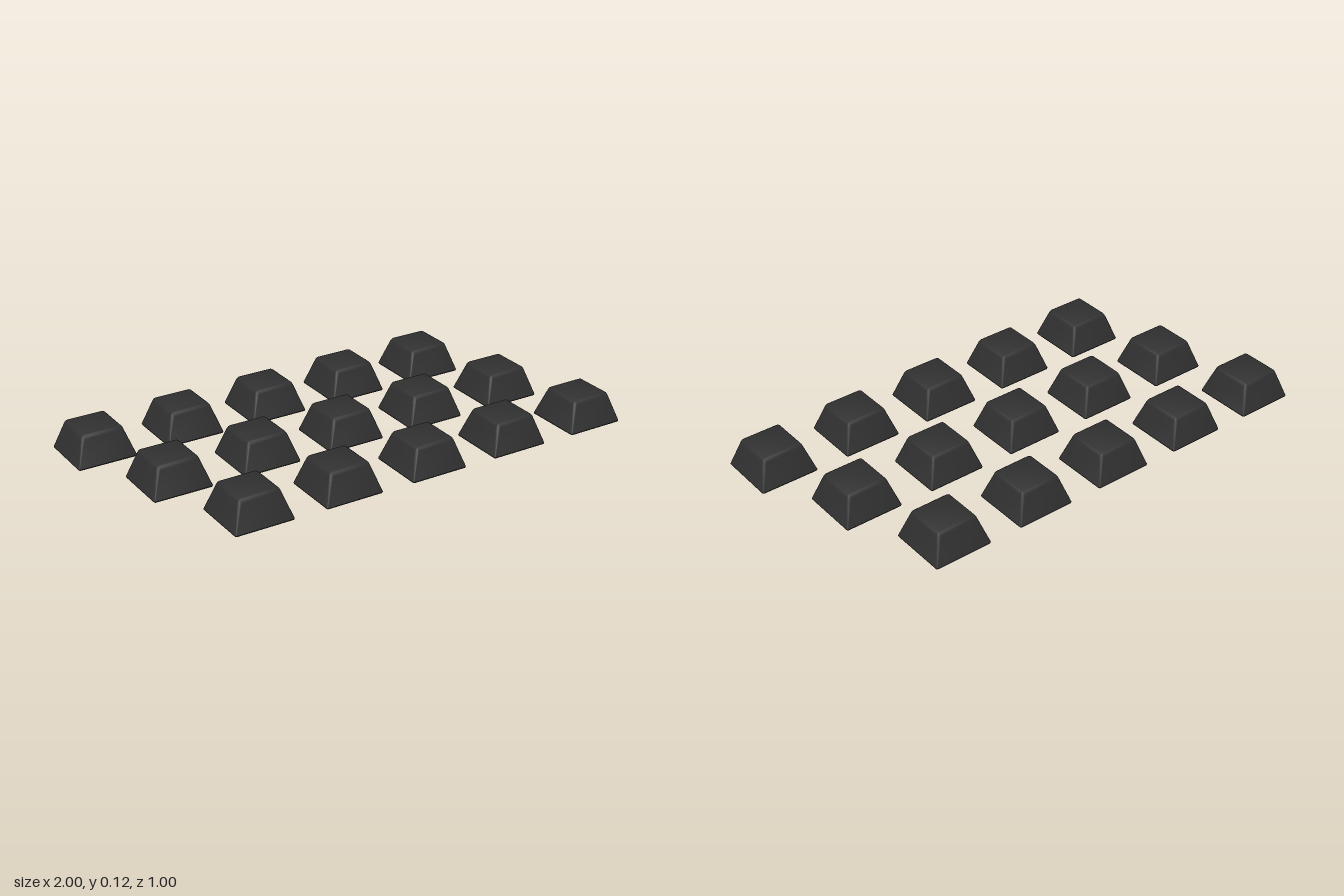
import * as THREE from 'three';
import { toCreasedNormals } from 'three/addons/utils/BufferGeometryUtils.js';

// Side profile of a keycap: [height, half width, corner radius]
const PROFILE = [
  [0, 0.117, 0.004], [0.002, 0.12, 0.007], [0.006, 0.1215, 0.008],
  [0.108, 0.0885, 0.012], [0.115, 0.086, 0.012], [0.121, 0.082, 0.01], [0.125, 0.076, 0.006],
];
const CORNER_STEPS = 4;

// Rounded square cross-section, counterclockwise seen from above
function ring([y, half, r]) {
  const points = [];
  for (let corner = 0; corner < 4; corner++) {
    const mid = (corner + 0.5) * Math.PI / 2;
    const cx = Math.sign(Math.cos(mid)) * (half - r);
    const cz = -Math.sign(Math.sin(mid)) * (half - r);
    for (let i = 0; i <= CORNER_STEPS; i++) {
      const a = (corner + i / CORNER_STEPS) * Math.PI / 2;
      points.push(cx + r * Math.cos(a), y, cz - r * Math.sin(a));
    }
  }
  return points;
}

// Tapered keycap lofted through the rings, closed above and below
function keycapGeometry() {
  const n = 4 * (CORNER_STEPS + 1);
  const positions = PROFILE.flatMap(ring);
  const bottom = PROFILE.length * n;
  const top = bottom + 1;
  positions.push(0, 0, 0, 0, PROFILE[PROFILE.length - 1][0], 0);
  const index = [];
  for (let j = 0; j < n; j++) {
    const k = (j + 1) % n;
    for (let i = 0; i < PROFILE.length - 1; i++) {
      const a = i * n + j, b = i * n + k;
      index.push(a, b, b + n, a, b + n, a + n);
    }
    const last = (PROFILE.length - 1) * n;
    index.push(bottom, k, j, top, last + j, last + k);
  }
  const geometry = new THREE.BufferGeometry();
  geometry.setAttribute('position', new THREE.Float32BufferAttribute(positions, 3));
  geometry.setIndex(index);
  return toCreasedNormals(geometry, 0.6);
}

export function createModel() {
  const model = new THREE.Group();
  model.name = 'keycaps';
  const geometry = keycapGeometry();
  const material = new THREE.MeshStandardMaterial({ color: 0x303030 });
  const pitch = 0.376, stagger = 0.1265;

  // Three rows of five keys, each row shifted sideways
  ['backRow', 'middleRow', 'frontRow'].forEach((name, r) => {
    const row = new THREE.Group();
    row.name = name;
    row.position.set((r - 1) * stagger, 0, (r - 1) * pitch);
    for (let c = 0; c < 5; c++) {
      const key = new THREE.Mesh(geometry, material);
      key.name = `keycap${c + 1}`;
      key.position.x = (c - 2) * pitch;
      row.add(key);
    }
    model.add(row);
  });
  return model;
}
